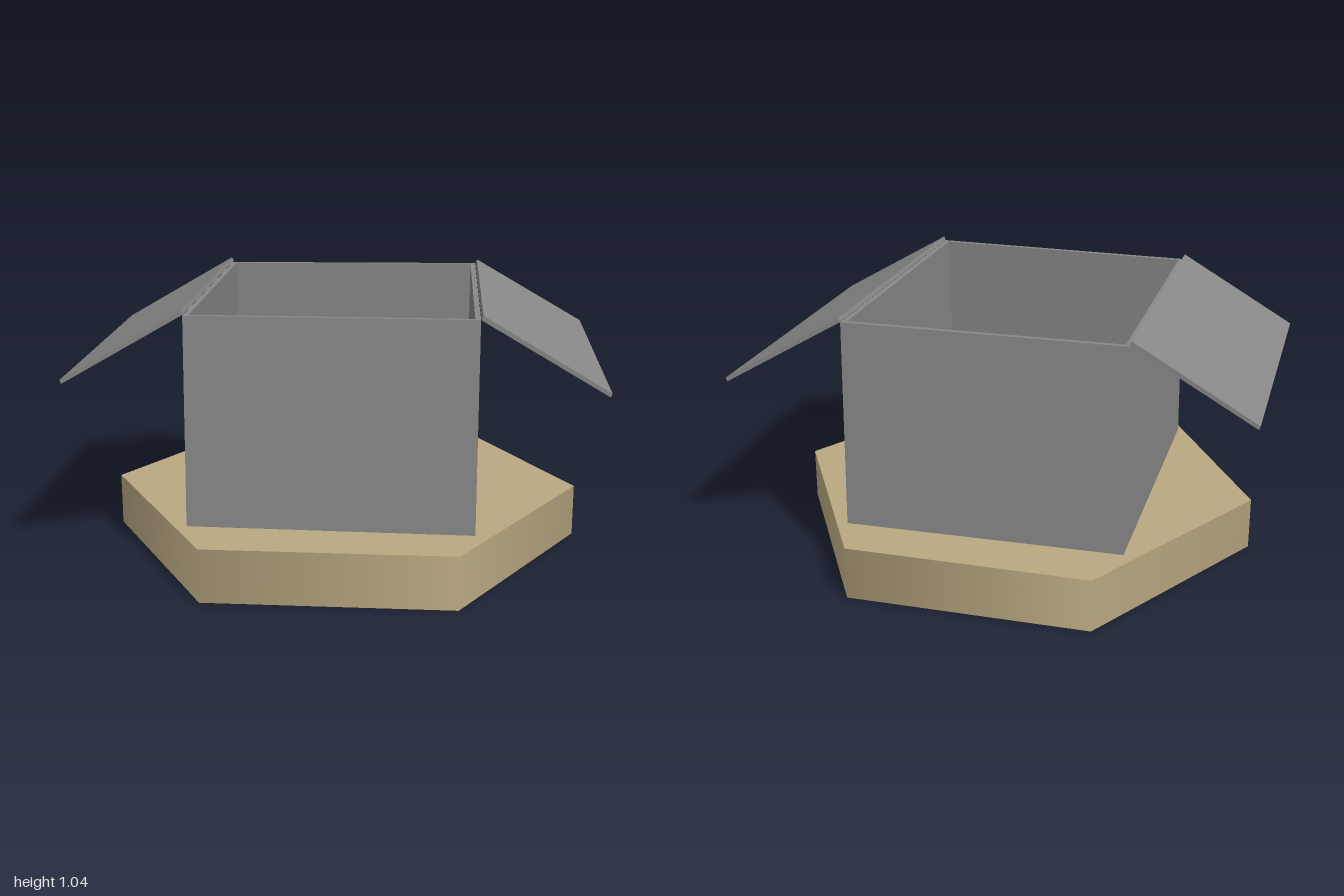
import * as THREE from 'three';

const darkGrey = new THREE.MeshStandardMaterial({ color: 0x888888, flatShading: true });
const tan = new THREE.MeshStandardMaterial({ color: 0xbaa881 });

// Skin a stack of four-cornered rings with flat quads, closed at both ends
function skin(rings) {
  const pos = [];
  const quad = (a, b, c, d) => pos.push(...a, ...b, ...c, ...a, ...c, ...d);
  for (let r = 0; r + 1 < rings.length; r++) {
    for (let i = 0; i < 4; i++) {
      const j = (i + 1) % 4;
      quad(rings[r][i], rings[r][j], rings[r + 1][j], rings[r + 1][i]);
    }
  }
  const first = rings[0];
  quad(first[3], first[2], first[1], first[0]);
  quad(...rings[rings.length - 1]);
  const geometry = new THREE.BufferGeometry();
  geometry.setAttribute('position', new THREE.Float32BufferAttribute(pos, 3));
  geometry.computeVertexNormals();
  return geometry;
}

// Ring counter-clockwise from above; depth differs between its -x and +x ends
const ring = ([x0, y0, z0], [x1, y1, z1]) =>
  [[x0, y0, z0], [x1, y1, z1], [x1, y1, -z1], [x0, y0, -z0]];

function addMesh(group, name, geometry, material) {
  const mesh = new THREE.Mesh(geometry, material);
  mesh.name = name;
  group.add(mesh);
  return mesh;
}

export function createModel() {
  const model = new THREE.Group();
  model.name = 'openBoxOnBase';

  // Hexagonal plinth with softly shaded sides, points along x
  const plinth = new THREE.CylinderGeometry(0.94, 0.94, 0.207, 6, 1, false, Math.PI / 2);
  addMesh(model, 'hexagonalBase', plinth, tan).position.set(0.005, 0.1035, 0);

  // Open carton: outside from bottom to rim, then inside down to the floor
  addMesh(model, 'carton', skin([
    ring([-0.54, 0.222, 0.622], [0.532, 0.222, 0.642]),
    ring([-0.537, 1.015, 0.592], [0.532, 1.02, 0.612]),
    ring([-0.517, 1.015, 0.572], [0.512, 1.02, 0.592]),
    ring([-0.52, 0.242, 0.602], [0.512, 0.242, 0.622]),
  ]), darkGrey);

  // Lid flaps folded outwards on both sides
  addMesh(model, 'rightFlap', skin([
    ring([-0.995, 0.753, 0.592], [-0.533, 1.02, 0.592]),
    ring([-1, 0.768, 0.592], [-0.54, 1.036, 0.592]),
  ]), darkGrey);
  addMesh(model, 'leftFlap', skin([
    ring([0.533, 1.02, 0.613], [0.995, 0.753, 0.633]),
    ring([0.54, 1.036, 0.613], [1, 0.768, 0.633]),
  ]), darkGrey);

  return model;
}
